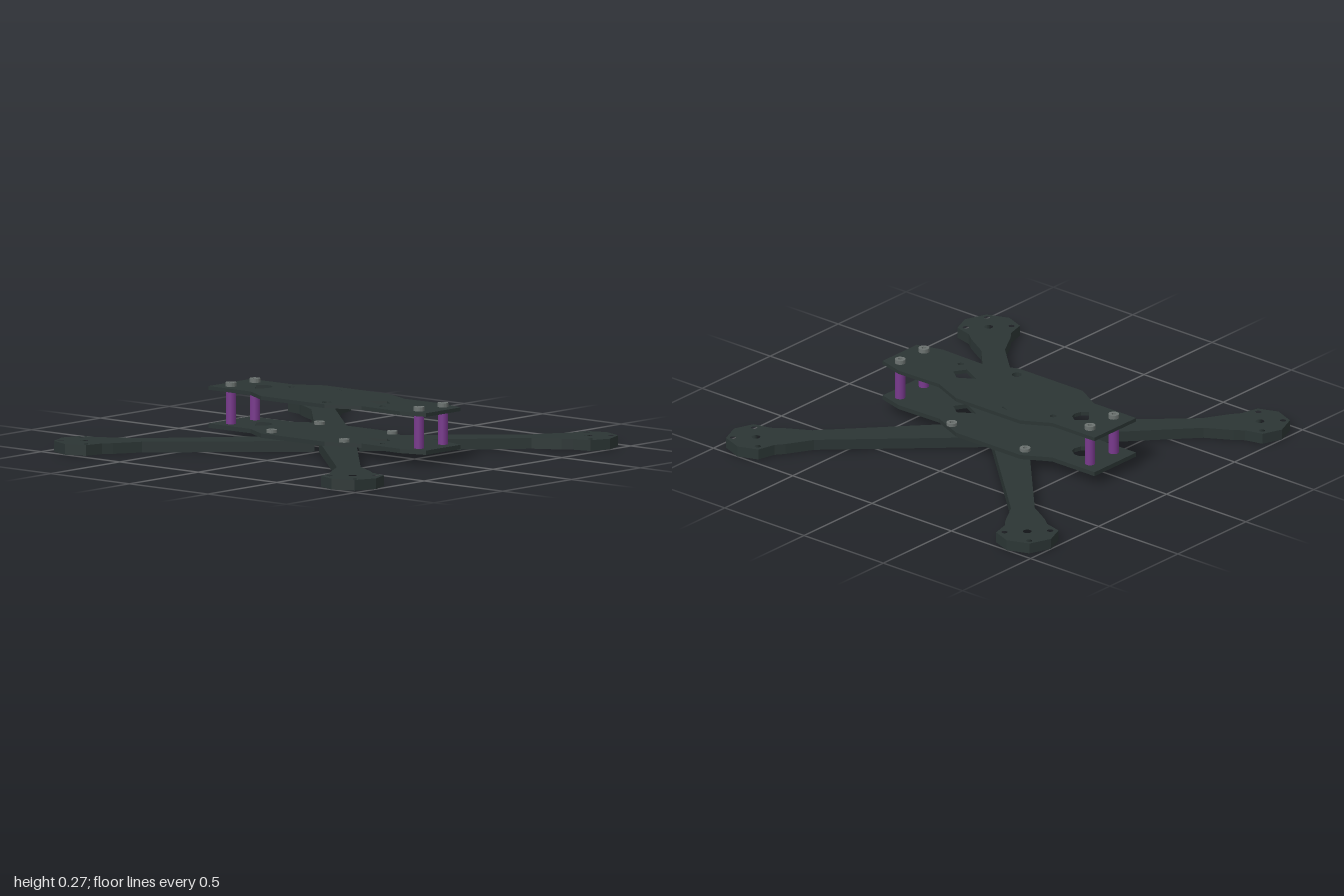
import * as THREE from 'three';

const carbon = new THREE.MeshStandardMaterial({ name: 'carbon', color: 0x2b3534 });
const steel = new THREE.MeshStandardMaterial({ name: 'steel', color: 0x6b7270 });
const purple = new THREE.MeshStandardMaterial({ name: 'purple', color: 0x78398c });

const toPoints = (list) => list.map(([x, y]) => new THREE.Vector2(x, y));
const polyHole = (list) => new THREE.Path(toPoints(list));
const roundHole = (x, z, r) => new THREE.Path().absarc(x, z, r, 0, Math.PI * 2, true);

// Flat sheet cut from an outline in x and z, lying between two heights
function sheet(name, outline, holes, bottom, top) {
  const shape = new THREE.Shape(toPoints(outline));
  shape.holes.push(...holes);
  const geo = new THREE.ExtrudeGeometry(shape, {
    depth: top - bottom, bevelEnabled: false, curveSegments: 8,
  });
  geo.rotateX(Math.PI / 2).translate(0, top, 0);
  const mesh = new THREE.Mesh(geo, carbon);
  mesh.name = name;
  return mesh;
}

// Button-head screw with a hexagonal socket
function screw(name, x, y, z, h) {
  const group = new THREE.Group();
  group.name = name;
  const shape = new THREE.Shape().absarc(0, 0, 0.026, 0, Math.PI * 2, false);
  const hex = [];
  for (let i = 0; i < 6; i++) {
    hex.push([0.012 * Math.cos(i * Math.PI / 3), 0.012 * Math.sin(i * Math.PI / 3)]);
  }
  shape.holes.push(polyHole(hex));
  const geo = new THREE.ExtrudeGeometry(shape, { depth: h, bevelEnabled: false, curveSegments: 10 });
  geo.rotateX(-Math.PI / 2);
  const floor = new THREE.Mesh(new THREE.CylinderGeometry(0.013, 0.013, h * 0.4, 6), steel);
  floor.name = 'socketFloor';
  floor.position.y = h * 0.2;
  const head = new THREE.Mesh(geo, steel);
  head.name = 'screwHead';
  group.add(head, floor);
  group.position.set(x, y, z);
  return group;
}

export function createModel() {
  const model = new THREE.Group();
  model.name = 'quadFrame';

  // Arms: tapered beams ending in faceted motor mounts
  const half = [[0.108, 0.088], [0.935, 0.057], [1.075, 0.095], [1.13, 0.102],
    [1.21, 0.15], [1.307, 0.107]];
  const armOutline = [...half, [1.354, 0], ...half.map(([u, v]) => [u, -v]).reverse()];
  for (let i = 0; i < 4; i++) {
    const holes = [
      roundHole(1.21, 0, 0.021),
      roundHole(1.32, 0, 0.015),
      roundHole(1.21, 0.11, 0.015),
      roundHole(1.21, -0.11, 0.015),
    ];
    const arm = sheet('arm', armOutline, holes, 0, 0.052);
    arm.rotation.y = Math.PI / 4 + i * Math.PI / 2;
    model.add(arm);
  }

  // Body plates: wide middle, square tail and tapered nose
  const side = [[0.153, -0.677], [0.153, -0.41], [0.23, -0.275], [0.23, 0.13],
    [0.157, 0.3], [0.163, 0.55], [0.125, 0.683]];
  const plateOutline = [...side, ...side.map(([x, z]) => [-x, z]).reverse()];
  const openings = () => [
    polyHole([[-0.06, -0.46], [0.025, -0.53], [0.055, -0.5], [0.055, -0.465],
      [0.03, -0.43], [0, -0.42], [-0.035, -0.43]]),
    polyHole([[-0.005, 0.205], [0.045, 0.285], [0, 0.345], [-0.058, 0.31]]),
    roundHole(-0.09, 0.375, 0.015),
  ];
  model.add(sheet('bottomPlate', plateOutline, openings(), 0.052, 0.073));
  const topHoles = [...openings(), roundHole(0.087, -0.36, 0.016), roundHole(-0.17, 0.09, 0.024),
    polyHole([[0.157, -0.1], [0.178, -0.15], [0.172, -0.11]])];
  model.add(sheet('topPlate', plateOutline, topHoles, 0.236, 0.254));

  // Standoffs with their screws, and the arm screws
  for (const s of [-1, 1]) {
    for (const z of [-0.592, 0.605]) {
      const post = new THREE.Mesh(new THREE.CylinderGeometry(0.025, 0.025, 0.163, 20), purple);
      post.name = 'standoff';
      post.position.set(s * 0.087, 0.1545, z);
      model.add(post, screw('topScrew', s * 0.087, 0.254, z, 0.02));
    }
    for (const z of [-0.257, 0.205]) model.add(screw('armScrew', s * 0.174, 0.073, z, 0.015));
  }
  return model;
}
